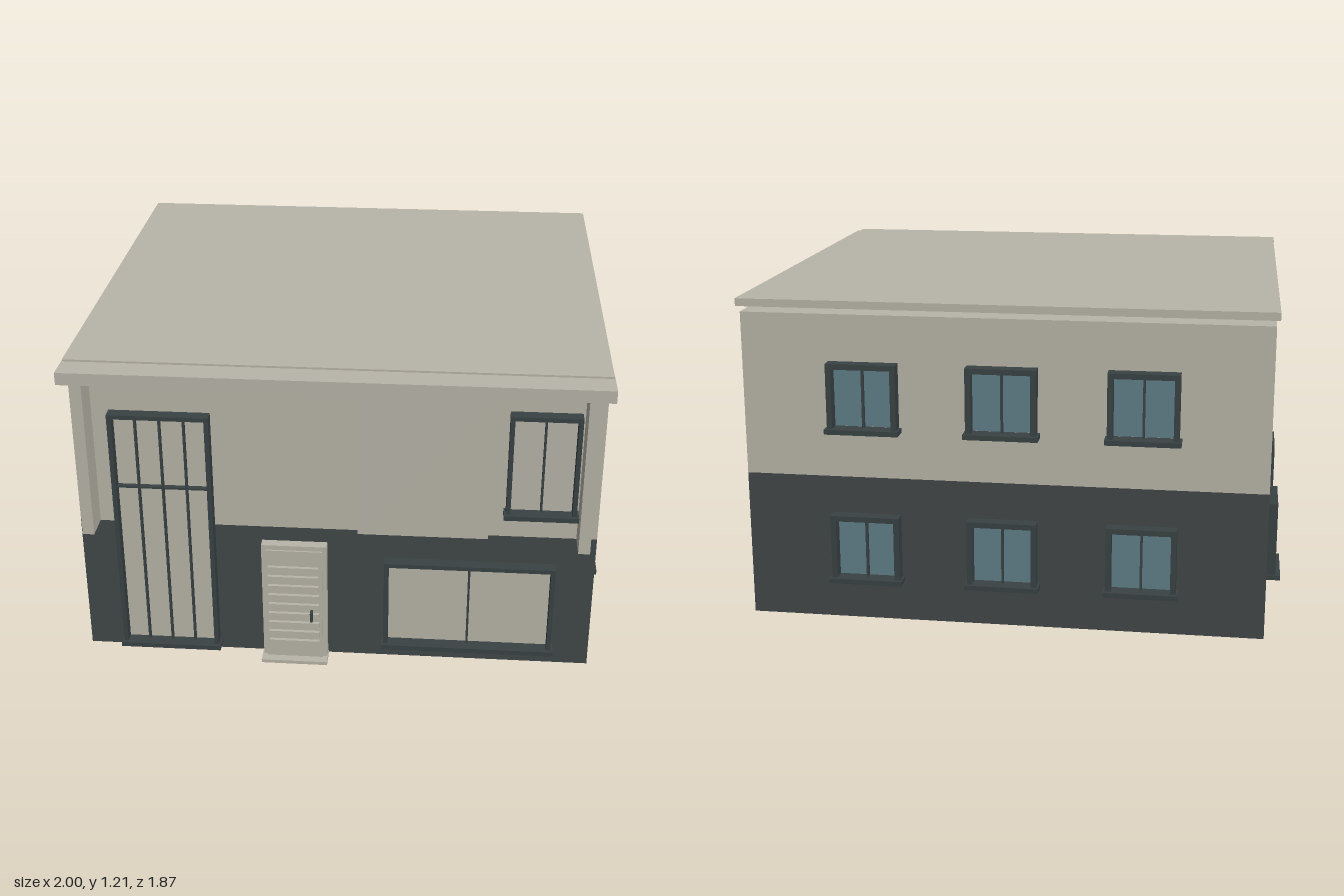
import * as THREE from 'three';

const material = (name, color) => {
  const m = new THREE.MeshStandardMaterial({ color });
  m.name = name;
  return m;
};

export function createModel() {
  const beige = material('beige plaster', 0xb8b4a8);
  const dark = material('dark plaster', 0x414748);
  const trim = material('window trim', 0x394243);
  const glass = material('blue glass', 0x5f7d86);

  const house = new THREE.Group();
  house.name = 'house';

  // Box given by its lower and upper limits on each axis
  function box(parent, name, mat, x0, x1, y0, y1, z0, z1) {
    const mesh = new THREE.Mesh(new THREE.BoxGeometry(x1 - x0, y1 - y0, z1 - z0), mat);
    mesh.position.set((x0 + x1) / 2, (y0 + y1) / 2, (z0 + z1) / 2);
    mesh.name = name;
    parent.add(mesh);
    return mesh;
  }

  // Window on a wall plane: bottom centre at the origin, facing +z
  function makeWindow(name, { w, h, pane, mullions = [0], transom, border = 0.016, depth = 0.045, sillDepth = 0.058 }) {
    const g = new THREE.Group();
    g.name = name;
    const x = w / 2, t = 0.004;
    box(g, 'pane', pane, -x + border, x - border, border, h - border, 0, 0.006);
    for (const s of [-1, 1]) {
      const c = s * (x - border / 2);
      box(g, 'jamb', trim, c - border / 2, c + border / 2, 0, h - border, 0, depth);
    }
    box(g, 'head', trim, -x, x, h - border, h, 0, depth);
    box(g, 'sill', trim, -x - 0.008, x + 0.008, 0, 0.018, 0, sillDepth);
    for (const m of mullions) box(g, 'mullion', trim, m - t, m + t, 0.018, h - border, 0, 0.022);
    if (transom) box(g, 'transom', trim, -x + border, x - border, transom - t, transom + t, 0, 0.024);
    house.add(g);
    return g;
  }

  // Storeys, floating roof slab and front fascia
  box(house, 'groundFloor', dark, -0.943, 0.943, 0.018, 0.562, -0.872, 0.83);
  box(house, 'upperFloor', beige, -0.943, 0.943, 0.562, 1.16, -0.872, 0.83);
  box(house, 'roofSlab', beige, -0.955, 0.955, 1.182, 1.21, -0.885, 0.835);
  box(house, 'frontFascia', beige, -0.958, 0.958, 1.157, 1.203, 0.818, 0.933);

  // Front pilasters and raised panel
  for (const s of [-1, 1]) {
    const c = s * 0.89;
    box(house, 'pilaster', beige, c - 0.021, c + 0.021, 0.562, 1.157, 0.83, 0.933);
  }
  box(house, 'raisedPanel', beige, 0.083, 0.55, 0.582, 1.143, 0.83, 0.89);

  // Front windows
  makeWindow('tallWindow', { w: 0.362, h: 0.975, pane: beige, mullions: [-0.087, 0, 0.087], transom: 0.677 })
    .position.set(-0.625, 0.043, 0.83);
  makeWindow('wideWindow', { w: 0.622, h: 0.367, pane: beige }).position.set(0.49, 0.083, 0.83);
  makeWindow('upperFrontWindow', { w: 0.25, h: 0.405, pane: beige }).position.set(0.735, 0.66, 0.83);

  // Side windows
  for (const s of [-1, 1]) {
    for (const z of [0.282, -0.485]) {
      const win = makeWindow('sideWindow', { w: 0.222, h: 0.295, pane: dark, border: 0.02, depth: 0.04 });
      win.position.set(s * 0.943, 0.14, z);
      win.rotation.y = s * Math.PI / 2;
    }
  }

  // Back windows on both floors
  for (const y of [0.17, 0.735]) {
    for (const x of [-0.5, 0, 0.5]) {
      const win = makeWindow('backWindow', { w: 0.252, h: 0.255, pane: glass, border: 0.02, depth: 0.048, sillDepth: 0.062 });
      win.position.set(x, y, -0.872);
      win.rotation.y = Math.PI;
    }
  }

  // Louvred front door with frame, step and handle
  const door = new THREE.Group();
  door.name = 'frontDoor';
  house.add(door);
  box(door, 'doorJamb', beige, -0.272, -0.256, 0, 0.487, 0.83, 0.868);
  box(door, 'doorJamb', beige, -0.048, -0.032, 0, 0.487, 0.83, 0.868);
  box(door, 'doorHead', beige, -0.272, -0.032, 0.487, 0.505, 0.83, 0.868);
  box(door, 'doorLeaf', beige, -0.256, -0.048, 0.02, 0.487, 0.83, 0.875);
  box(door, 'doorStep', beige, -0.277, -0.03, 0.012, 0.025, 0.83, 0.908);
  for (let i = 0; i < 9; i++) {
    const y = 0.094 + i * 0.04;
    box(door, 'doorSlat', beige, -0.248, -0.06, y - 0.009, y + 0.009, 0.875, 0.888);
  }
  box(door, 'doorHandle', trim, -0.093, -0.083, 0.197, 0.235, 0.875, 0.9);

  return house;
}
